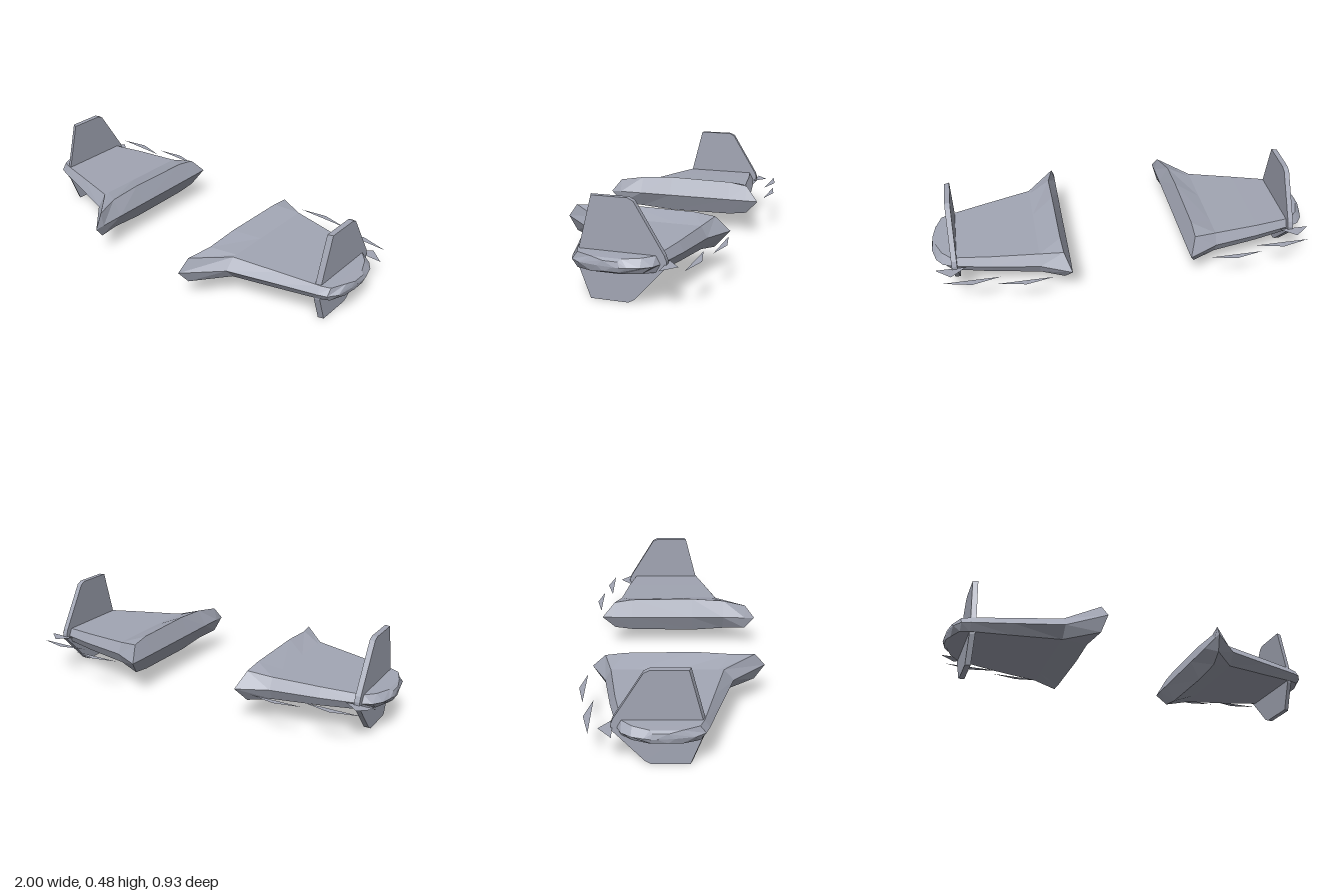
import * as THREE from 'three';

const MID = 0.193; // height of the wing's sharp edge line

// Ring order: front edge, five points over the top, back edge, five points under the belly.
function ring(xs, hs, zs) {
  const top = xs.map((x, i) => [x, MID + hs[i], zs[i]]);
  const under = [5, 4, 3, 2, 1].map(i => [xs[i], MID - hs[i], zs[i]]);
  return [...top, ...under];
}

// Regular station: x, half height, front edge, front crease, back crease, back edge
function station([x, h, front, cf, cb, back]) {
  const zs = [0, 0.05, 0.4, 0.8, 1].map(f => cf + (cb - cf) * f);
  return ring(Array(7).fill(x), [0, h, h, h, h, h, 0], [front, ...zs, back]);
}

function wingGeometry() {
  const rootZ = [0.46, 0.405, 0.28, 0.1, -0.25, -0.35, -0.42];
  const rings = [
    // inner end: sharp line, then the raised ridge
    ring([0.295, 0.296, 0.298, 0.3, 0.303, 0.304, 0.306], [0, 0, 0, 0, 0, 0, 0], rootZ),
    ring([0.295, 0.313, 0.345, 0.345, 0.345, 0.34, 0.306], [0, 0.07, 0.086, 0.098, 0.093, 0.078, 0], rootZ),
    // panel out to the rounded tip
    ...[
      [0.46, 0.058, 0.29, 0.24, -0.315, -0.345],
      [0.70, 0.048, 0.215, 0.18, -0.28, -0.305],
      [0.90, 0.038, 0.155, 0.13, -0.24, -0.26],
      [0.945, 0.036, 0.137, 0.11, -0.19, -0.24],
      [0.978, 0.034, 0.09, 0.03, -0.11, -0.195],
      [0.993, 0.024, 0.0, -0.03, -0.1, -0.14],
      [1.0, 0, -0.08, -0.085, -0.105, -0.11],
    ].map(station),
  ];
  const n = 12, index = [];
  for (let i = 0; i < rings.length - 1; i++) {
    for (let j = 0; j < n; j++) {
      const k = (j + 1) % n;
      const a = i * n + j, b = (i + 1) * n + j, c = (i + 1) * n + k, d = i * n + k;
      index.push(a, b, c, a, c, d);
    }
  }
  const g = new THREE.BufferGeometry();
  g.setAttribute('position', new THREE.Float32BufferAttribute(rings.flat(2), 3));
  g.setIndex(index);
  return g;
}

// Upright fin, outlined as [z, y] and extruded across x
function finGeometry() {
  const outline = [
    [0.07, 0.478], [-0.11, 0.478], [-0.137, 0.465], [-0.278, 0.235], [-0.288, 0.208],
    [-0.288, 0.18], [-0.268, 0.16], [-0.137, 0.015], [-0.11, 0], [0.08, 0],
    [0.135, 0.145], [0.135, 0.225],
  ];
  const shape = new THREE.Shape(outline.map(([z, y]) => new THREE.Vector2(-z, y)));
  const g = new THREE.ExtrudeGeometry(shape, { depth: 0.027, bevelEnabled: false });
  g.rotateY(Math.PI / 2).translate(0.873, 0, 0);
  // slant the leading face slightly towards the outside
  const p = g.attributes.position;
  for (let i = 0; i < p.count; i++) {
    if (p.getX(i) > 0.89 && p.getZ(i) > 0.05) p.setZ(i, p.getZ(i) - 0.01);
  }
  return g;
}

// Flat triangle: left x, right x, apex x, base z, apex z
function flapGeometry([x0, x1, xa, zb, za]) {
  const g = new THREE.BufferGeometry();
  g.setAttribute('position', new THREE.Float32BufferAttribute([x0, MID, zb, x1, MID, zb, xa, MID, za], 3));
  return g;
}

// Faceted copy for one side; the right side is mirrored with its corners reordered
function forSide(source, side) {
  const g = source.index ? source.toNonIndexed() : source.clone();
  if (side < 0) {
    const p = g.attributes.position, b = new THREE.Vector3(), c = new THREE.Vector3();
    g.scale(-1, 1, 1);
    for (let i = 0; i < p.count; i += 3) {
      b.fromBufferAttribute(p, i + 1);
      c.fromBufferAttribute(p, i + 2);
      p.setXYZ(i + 1, c.x, c.y, c.z);
      p.setXYZ(i + 2, b.x, b.y, b.z);
    }
  }
  g.computeVertexNormals();
  return g;
}

export function createModel() {
  const model = new THREE.Group();
  model.name = 'wingPair';
  const grey = new THREE.MeshStandardMaterial({ color: 0xa2a6b4, side: THREE.DoubleSide });
  grey.name = 'blueGrey';

  const parts = [['wing', wingGeometry()], ['fin', finGeometry()]];
  // thin triangular flaps trailing behind the back edge
  [
    [0.40, 0.68, 0.54, -0.435, -0.465],
    [0.66, 0.95, 0.805, -0.385, -0.42],
    [0.83, 0.985, 0.907, -0.28, -0.345],
  ].forEach((f, i) => parts.push(['trailingFlap' + (i + 1), flapGeometry(f)]));

  for (const side of [1, -1]) {
    const half = new THREE.Group();
    half.name = side > 0 ? 'leftWing' : 'rightWing';
    for (const [name, geometry] of parts) {
      const mesh = new THREE.Mesh(forSide(geometry, side), grey);
      mesh.name = name;
      half.add(mesh);
    }
    model.add(half);
  }
  return model;
}
